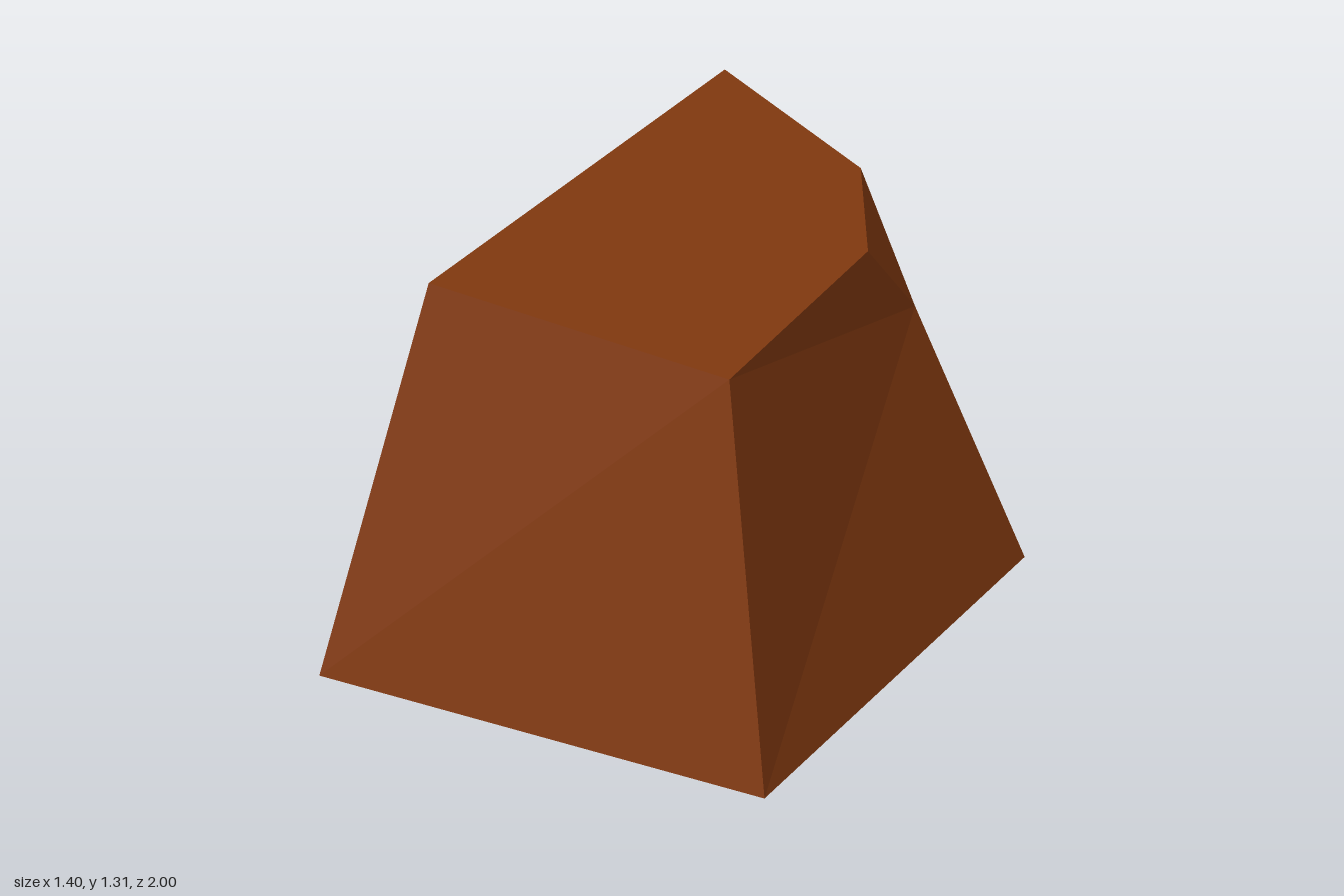
import * as THREE from 'three';

export function createModel() {
  const group = new THREE.Group();
  group.name = 'taperedRock';
  const brown = new THREE.MeshStandardMaterial({ color: 0x80380f });
  brown.name = 'rust brown';

  const corners = [
    // base: back right-hand side round to front
    [-0.70, 0, -1.0], [0.52, 0, -0.80], [0.70, 0, 0.60], [-0.695, 0, 1.0],
    // rim
    [-0.59, 1.31, -0.73], [0.03, 1.31, -0.625], [0.31, 1.31, -0.33],
    [0.405, 1.31, 0.415], [-0.58, 1.31, 0.635],
    // lowered point of the chipped corner
    [0.28, 0.945, -0.58],
  ];

  // Each face is a fan about its first corner, with its own flat normals
  const addFace = (name, loop) => {
    const points = [];
    for (let i = 1; i < loop.length - 1; i++) {
      for (const k of [loop[0], loop[i], loop[i + 1]]) points.push(...corners[k]);
    }
    const geometry = new THREE.BufferGeometry();
    geometry.setAttribute('position', new THREE.Float32BufferAttribute(points, 3));
    geometry.computeVertexNormals();
    const mesh = new THREE.Mesh(geometry, brown);
    mesh.name = name;
    group.add(mesh);
  };

  addFace('base', [0, 1, 2, 3]);
  addFace('top', [4, 8, 7, 6, 5]);
  addFace('frontSide', [3, 2, 7, 8]);
  addFace('backSide', [9, 1, 0, 4, 5]);
  addFace('leftSide', [9, 6, 7, 2, 1]);
  addFace('rightSide', [0, 3, 8, 4]);
  addFace('chippedCorner', [9, 5, 6]);

  return group;
}
